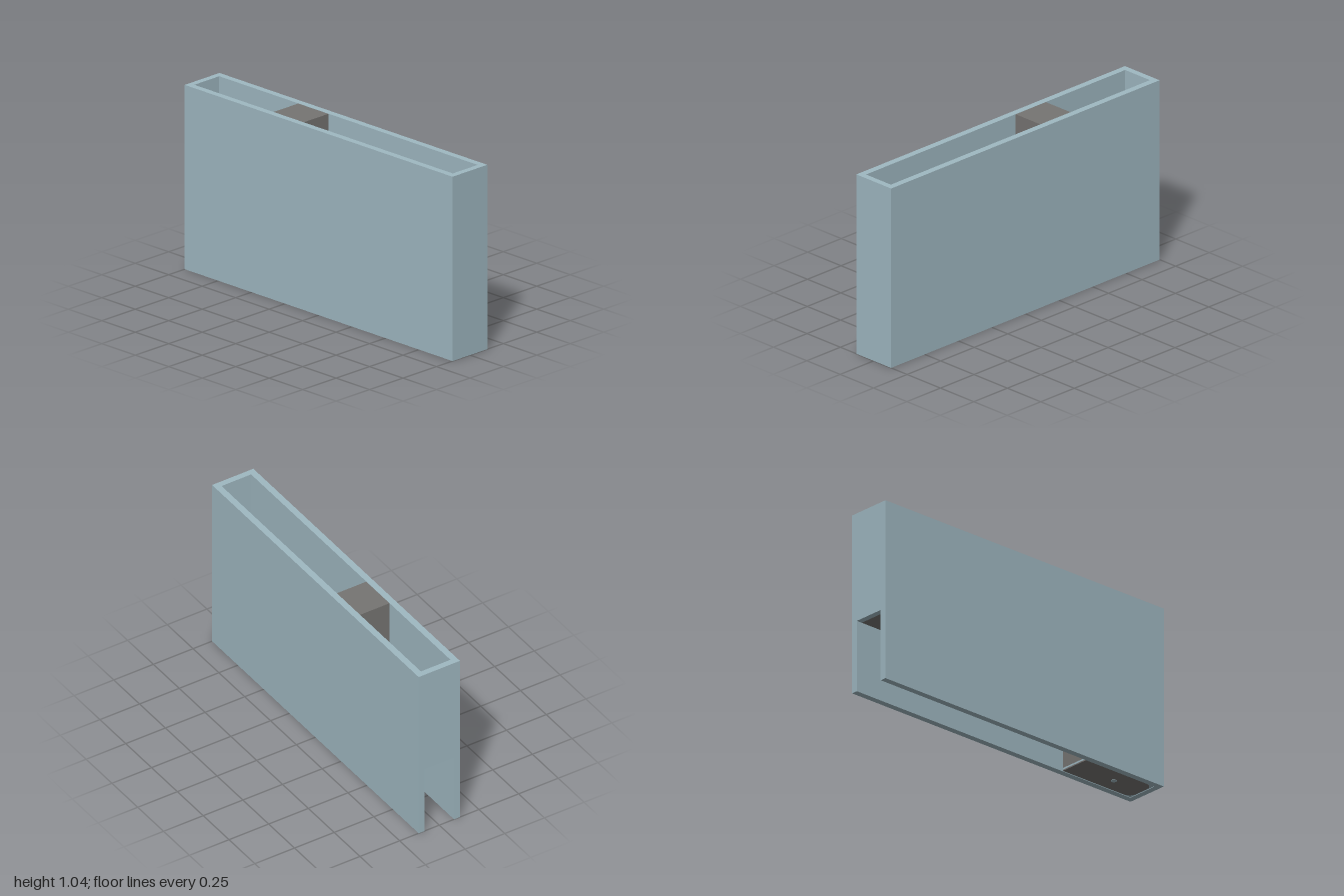
import * as THREE from 'three';

export function createModel() {
  const model = new THREE.Group();
  const blue = new THREE.MeshStandardMaterial({ color: 0x9fb8c1 });
  blue.name = 'pale blue';
  const gray = new THREE.MeshStandardMaterial({ color: 0x767472 });
  gray.name = 'warm gray';

  const H = 1.037, W = 0.13, inW = 0.093, inX = 0.965, slot = 0.41;

  // Box given by its min and max corners
  function block(name, mat, x0, x1, y0, y1, z0, z1) {
    const mesh = new THREE.Mesh(new THREE.BoxGeometry(x1 - x0, y1 - y0, z1 - z0), mat);
    mesh.position.set((x0 + x1) / 2, (y0 + y1) / 2, (z0 + z1) / 2);
    mesh.name = name;
    model.add(mesh);
  }
  // Small vertical pin
  function pin(name, x, y, h) {
    const mesh = new THREE.Mesh(new THREE.CylinderGeometry(0.016, 0.016, h, 24), blue);
    mesh.position.set(x, y, 0);
    mesh.name = name;
    model.add(mesh);
  }

  // Casing: long walls, closed end, and the end with an open slot below
  block('frontWall', blue, -1, 1, 0, H, inW, W);
  block('backWall', blue, -1, 1, 0, H, -W, -inW);
  block('closedEnd', blue, inX, 1, 0, H, -inW, inW);
  block('slottedEnd', blue, -1, -inX, slot, H, -inW, inW);

  // Inner steps, listed as name, x range, y range
  const steps = [
    ['chamberFloor', -inX, -0.375, slot, 0.45],
    ['divider', -0.375, -0.15, slot, H - 0.001],
    ['upperStep', -0.15, 0, slot, 0.6],
    ['lowerStep', 0, 0.11, slot, 0.5],
    ['ledge', 0.33, 0.48, 0.2, 0.35],
    ['baseBlock', 0.48, inX, 0.02, 0.4],
  ];
  for (const [name, x0, x1, y0, y1] of steps) block(name, gray, x0, x1, y0, y1, -inW, inW);

  // Floor under the base block with a plate rounded at its outer end
  block('baseFloor', blue, 0.48, inX, 0.003, 0.02, -inW, inW);
  const r = 0.05, e = 0.96, w = 0.09;
  const outline = new THREE.Shape();
  outline.moveTo(0.478, -w);
  outline.lineTo(e - r, -w);
  outline.absarc(e - r, -w + r, r, -Math.PI / 2, 0);
  outline.absarc(e - r, w - r, r, 0, Math.PI / 2);
  outline.lineTo(0.478, w);
  const plateGeo = new THREE.ExtrudeGeometry(outline, { depth: 0.007, bevelEnabled: false, curveSegments: 10 });
  plateGeo.rotateX(Math.PI / 2);
  const plate = new THREE.Mesh(plateGeo, gray);
  plate.position.y = 0.009;
  plate.name = 'basePlate';
  model.add(plate);

  // Latch tab and pins
  block('latchTab', blue, 0.11, 0.145, 0.43, 0.47, -0.055, 0.055);
  pin('stepPin', 0.094, 0.5, 0.01);
  pin('ledgePin', 0.422, 0.35, 0.01);
  pin('basePin', 0.76, 0.004, 0.007);

  return model;
}
